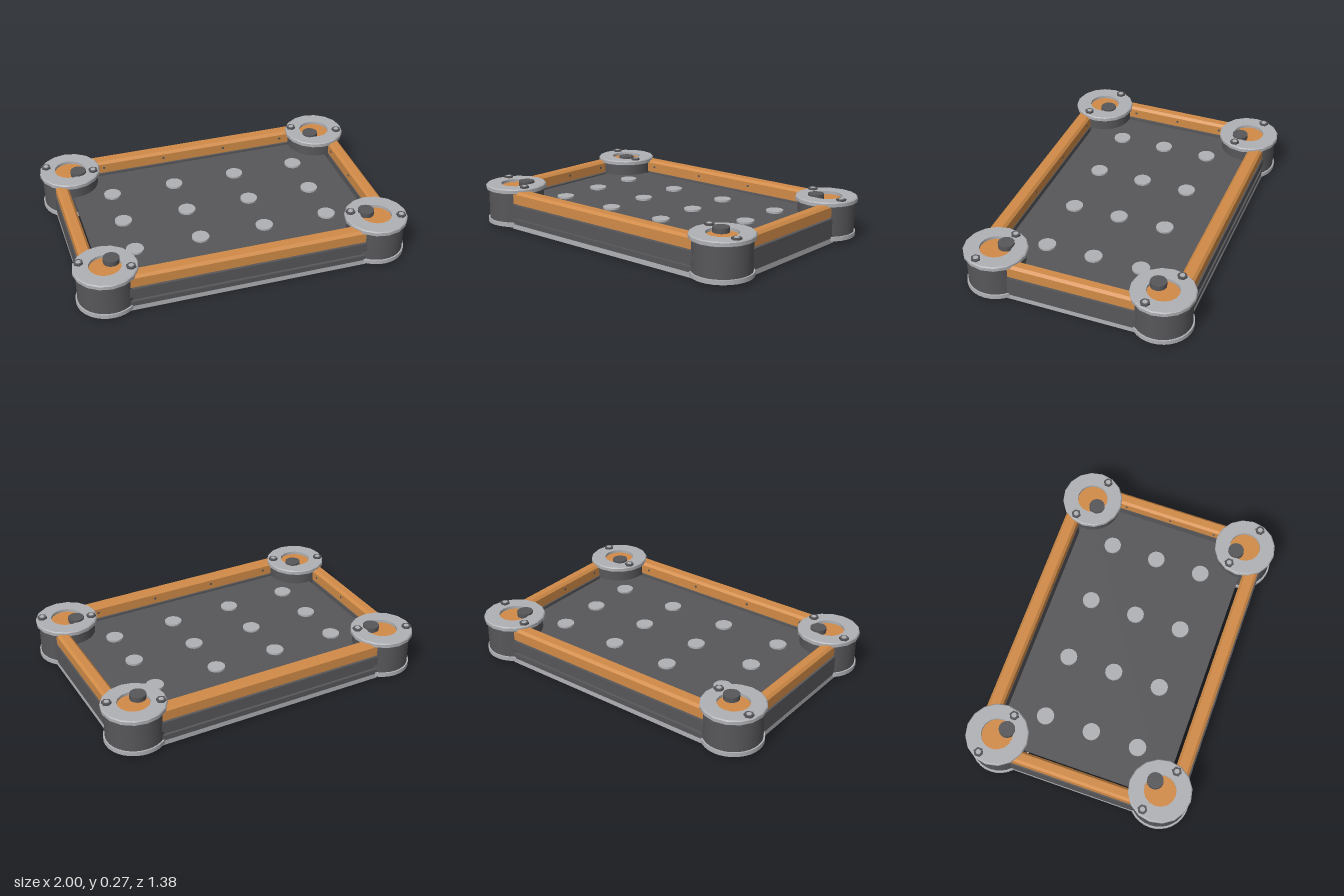
import * as THREE from 'three';
import { toCreasedNormals } from 'three/addons/utils/BufferGeometryUtils.js';

const mat = (name, color) => {
  const m = new THREE.MeshStandardMaterial({ color });
  m.name = name;
  return m;
};

export function createModel() {
  const dark = mat('darkGrey', 0x57575a);
  const grey = mat('lightGrey', 0xb0b1b5);
  const orange = mat('orange', 0xd18b47);
  const model = new THREE.Group();
  model.name = 'table';

  const add = (parent, name, geo, material, x = 0, y = 0, z = 0) => {
    const m = new THREE.Mesh(geo, material);
    m.name = name;
    m.position.set(x, y, z);
    parent.add(m);
    return m;
  };
  // Box and cylinder given by their bottom and top heights
  const box = (parent, name, material, w, d, y0, y1, x = 0, z = 0) =>
    add(parent, name, new THREE.BoxGeometry(w, y1 - y0, d), material, x, (y0 + y1) / 2, z);
  const disc = (parent, name, material, r, y0, y1, x = 0, z = 0, sides = 32) =>
    add(parent, name, new THREE.CylinderGeometry(r, r, y1 - y0, sides), material, x, (y0 + y1) / 2, z);

  // Playing surface, its pads and the brace underneath
  box(model, 'tableTop', dark, 1.66, 1.045, 0.135, 0.157);
  box(model, 'underBrace', grey, 0.022, 1.04, 0.115, 0.135);
  for (const x of [-0.595, -0.2, 0.195, 0.59])
    for (const z of [-0.29, 0, 0.29]) disc(model, 'pad', grey, 0.052, 0.157, 0.169, x, z, 16);

  // Rail section with chamfered upper edges, run along x and centred
  const railGeometry = (length, width) => {
    const w = width / 2, c = 0.015;
    const s = new THREE.Shape([
      [-w, 0.165], [w, 0.165], [w, 0.24 - c], [w - c, 0.24], [-w + c, 0.24], [-w, 0.24 - c],
    ].map(p => new THREE.Vector2(...p)));
    return new THREE.ExtrudeGeometry(s, { depth: length, bevelEnabled: false })
      .translate(0, 0, -length / 2).rotateY(Math.PI / 2);
  };

  // One side: base bar, wall and rail, with local +z pointing outward
  const makeSide = (name, length, outer, inner, marks, grooved, turn) => {
    const g = new THREE.Group();
    g.name = name;
    g.rotation.y = turn;
    model.add(g);
    const mid = (outer + inner) / 2, depth = outer - inner;
    box(g, 'baseBar', grey, length, depth, 0.008, 0.038, 0, mid);
    if (grooved) {
      box(g, 'lowerWall', dark, length, depth, 0.038, 0.07, 0, mid);
      box(g, 'wallGroove', dark, length, depth - 0.016, 0.07, 0.1, 0, mid - 0.008);
      box(g, 'upperWall', dark, length, depth, 0.1, 0.157, 0, mid);
    } else box(g, 'wall', dark, length, depth, 0.038, 0.157, 0, mid);
    add(g, 'rail', railGeometry(length, depth - 0.006), orange, 0, 0, mid - 0.003);
    for (const x of marks) {
      const dot = disc(g, 'railMark', dark, 0.008, -0.002, 0.002, 0, 0, 8);
      dot.rotation.x = Math.PI / 2;
      dot.position.set(x, 0.2, inner);
    }
  };
  const longMarks = [-0.59, -0.2, 0.2, 0.59], shortMarks = [-0.29, 0, 0.29];
  makeSide('frontSide', 1.42, 0.635, 0.543, longMarks, true, 0);
  makeSide('backSide', 1.42, 0.635, 0.543, longMarks, true, Math.PI);
  makeSide('leftSide', 0.8, 0.935, 0.855, shortMarks, false, Math.PI / 2);
  makeSide('rightSide', 0.8, 0.935, 0.855, shortMarks, false, -Math.PI / 2);

  // Corner cap: a bevelled ring
  const capGeometry = toCreasedNormals(new THREE.LatheGeometry([
    [0.094, 0.226], [0.182, 0.226], [0.186, 0.23], [0.186, 0.25],
    [0.18, 0.256], [0.094, 0.256], [0.094, 0.226],
  ].map(p => new THREE.Vector2(...p)), 16), 0.5);

  // Corner posts
  for (const sx of [-1, 1])
    for (const sz of [-1, 1]) {
      const g = new THREE.Group();
      g.name = 'corner';
      g.position.set(sx * 0.814, 0, sz * 0.503);
      model.add(g);
      disc(g, 'foot', grey, 0.12, 0, 0.02);
      disc(g, 'flange', grey, 0.178, 0.02, 0.046);
      disc(g, 'post', dark, 0.169, 0.046, 0.226);
      add(g, 'cap', capGeometry, grey);
      disc(g, 'pocketPlate', orange, 0.095, 0.226, 0.238);
      disc(g, 'knob', dark, 0.048, 0.238, 0.268, -sx * 0.045, -sz * 0.045, 16);
      // Hexagonal bolts with a light centre
      for (const [bx, bz] of [[-0.138, -0.06], [0.136, 0.055]]) {
        disc(g, 'bolt', dark, 0.029, 0.256, 0.267, bx, bz, 6);
        disc(g, 'boltCentre', grey, 0.015, 0.267, 0.269, bx, bz, 12);
      }
    }
  return model;
}
